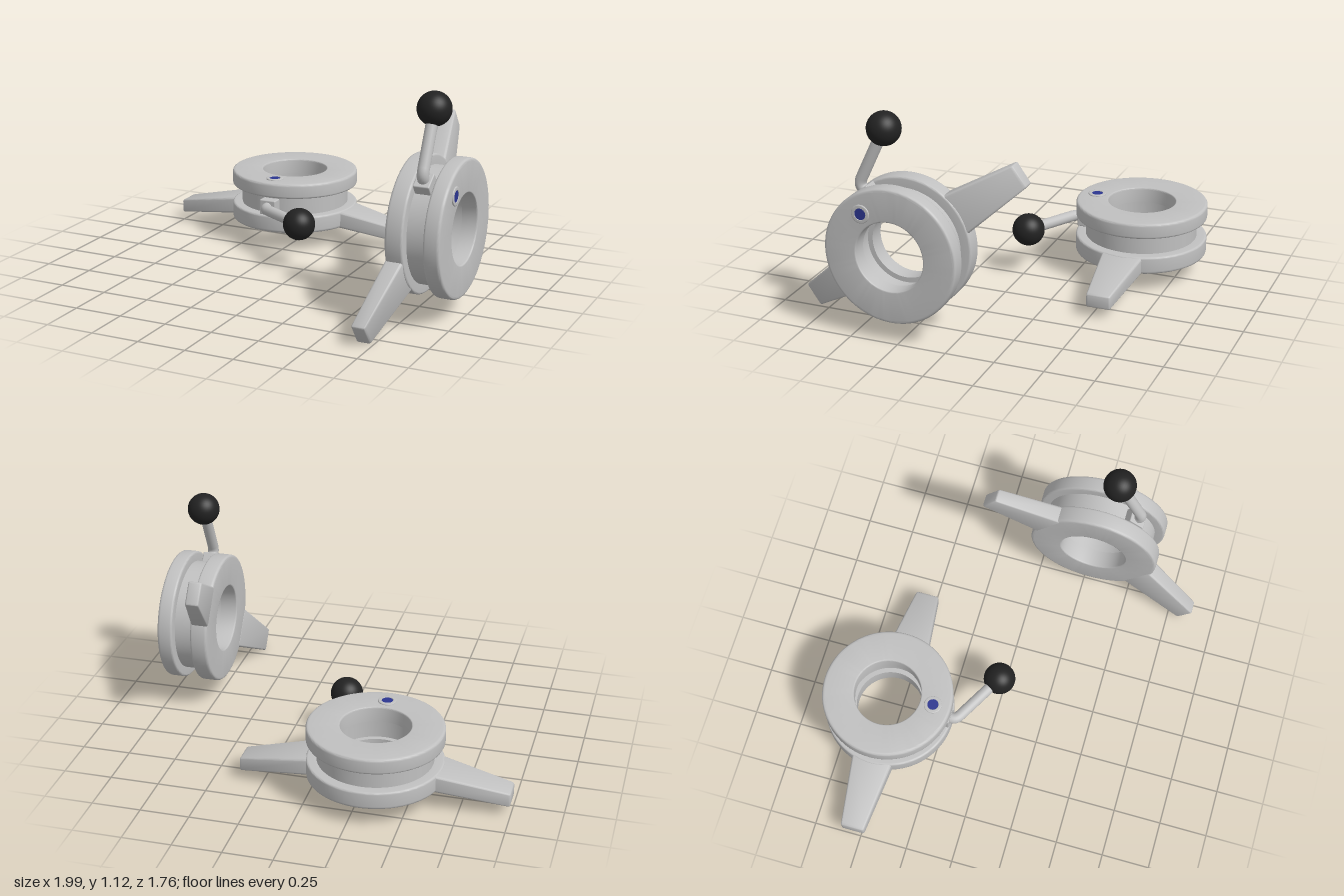
import * as THREE from 'three';
import { toCreasedNormals } from 'three/addons/utils/BufferGeometryUtils.js';
import { RoundedBoxGeometry } from 'three/addons/geometries/RoundedBoxGeometry.js';

const mat = (name, color) => new THREE.MeshStandardMaterial({ name, color });

// Closed lathe from [radius, height, cornerRadius] corners, listed counter-clockwise
function roundedLathe(corners, segments) {
  const pts = [];
  const n = corners.length;
  corners.forEach(([r, y, c = 0], i) => {
    const p = new THREE.Vector2(r, y);
    if (!c) { pts.push(p); return; }
    const a = new THREE.Vector2(...corners[(i + n - 1) % n].slice(0, 2));
    const b = new THREE.Vector2(...corners[(i + 1) % n].slice(0, 2));
    const from = p.clone().add(a.sub(p).setLength(c));
    const to = p.clone().add(b.sub(p).setLength(c));
    pts.push(...new THREE.QuadraticBezierCurve(from, p, to).getPoints(4));
  });
  pts.push(pts[0].clone());
  return toCreasedNormals(new THREE.LatheGeometry(pts, segments), 0.5);
}

// Tapered, drooping arm pointing along +x
function armGeometry() {
  const x0 = 0.3, x1 = 0.683;
  const geo = new RoundedBoxGeometry(x1 - x0, 0.08, 0.17, 3, 0.012);
  const pos = geo.attributes.position;
  const mix = THREE.MathUtils.lerp;
  for (let i = 0; i < pos.count; i++) {
    const t = pos.getX(i) / (x1 - x0) + 0.5;
    const h = pos.getY(i) / 0.08 + 0.5;
    const w = pos.getZ(i) / 0.085;
    pos.setXYZ(i, mix(x0, x1, t),
      mix(mix(0.108, 0.053, t), mix(0.202, 0.125, t), h),
      w * mix(0.11, 0.062, t));
  }
  return toCreasedNormals(geo, 0.5);
}

export function createModel() {
  const metal = mat('light grey metal', 0xc0c0c0);
  const black = mat('black knob', 0x222222);
  const blue = mat('blue screw socket', 0x2b3590);

  const add = (parent, name, geo, material, x = 0, y = 0, z = 0) => {
    const m = new THREE.Mesh(geo, material);
    m.name = name;
    m.position.set(x, y, z);
    parent.add(m);
    return m;
  };

  // Grooved ring: two flanges joined by a narrower waist, with a relieved bore
  const ringGeo = roundedLathe([
    [0.175, 0.108, 0.008], [0.342, 0.108, 0.016], [0.342, 0.2, 0.012], [0.29, 0.2],
    [0.29, 0.301], [0.342, 0.301, 0.012], [0.342, 0.382, 0.016], [0.175, 0.382, 0.008],
    [0.175, 0.301], [0.2, 0.301], [0.2, 0.2], [0.175, 0.2],
  ], 96);
  const armGeo = armGeometry();
  const screwGeo = roundedLathe([
    [0.026, 0.37], [0.047, 0.37], [0.047, 0.388, 0.005], [0.03, 0.388], [0.026, 0.38],
  ], 32);

  // One complete unit; side says which way the lever leans
  function makeUnit(name, side) {
    const unit = new THREE.Group();
    unit.name = name;
    add(unit, 'ring', ringGeo, metal);
    for (const turn of [0, Math.PI]) {
      add(unit, turn ? 'rightArm' : 'leftArm', armGeo, metal).rotation.y = turn;
    }

    // Screw on the upper flange
    add(unit, 'screwHead', screwGeo, metal, 0, 0, 0.246);
    add(unit, 'screwSocket', new THREE.CylinderGeometry(0.031, 0.031, 0.008, 32), blue, 0, 0.3815, 0.246);

    // Bent lever with ball knob
    const lever = new THREE.Group();
    lever.name = 'lever';
    unit.add(lever);
    add(lever, 'leverBlock', new RoundedBoxGeometry(0.092, 0.082, 0.07, 2, 0.006), metal, 0, 0.243, 0.305);
    const v = (x, z) => new THREE.Vector3(side * x, 0.243, z);
    const path = new THREE.CurvePath();
    path.add(new THREE.LineCurve3(v(0, 0.29), v(0, 0.345)));
    path.add(new THREE.QuadraticBezierCurve3(v(0, 0.345), v(0, 0.368), v(0.03, 0.384)));
    path.add(new THREE.LineCurve3(v(0.03, 0.384), v(0.28, 0.525)));
    add(lever, 'leverRod', new THREE.TubeGeometry(path, 48, 0.029, 20), metal);
    add(lever, 'knob', new THREE.SphereGeometry(0.084, 40, 28), black, side * 0.28, 0.243, 0.525);
    return unit;
  }

  const model = new THREE.Group();
  model.name = 'leverRings';

  // Flat unit
  const flat = makeUnit('flatUnit', 1);
  flat.position.set(-0.314, 0, -0.54);
  model.add(flat);

  // Upright mirrored unit, its axis along +x
  const upright = makeUnit('uprightUnit', -1);
  const c = 0.578, s = 0.816;
  upright.setRotationFromMatrix(new THREE.Matrix4().makeBasis(
    new THREE.Vector3(0, -c, s), new THREE.Vector3(1, 0, 0), new THREE.Vector3(0, s, c)));
  upright.position.set(0.608, 0.445, 0.287);
  model.add(upright);

  return model;
}
